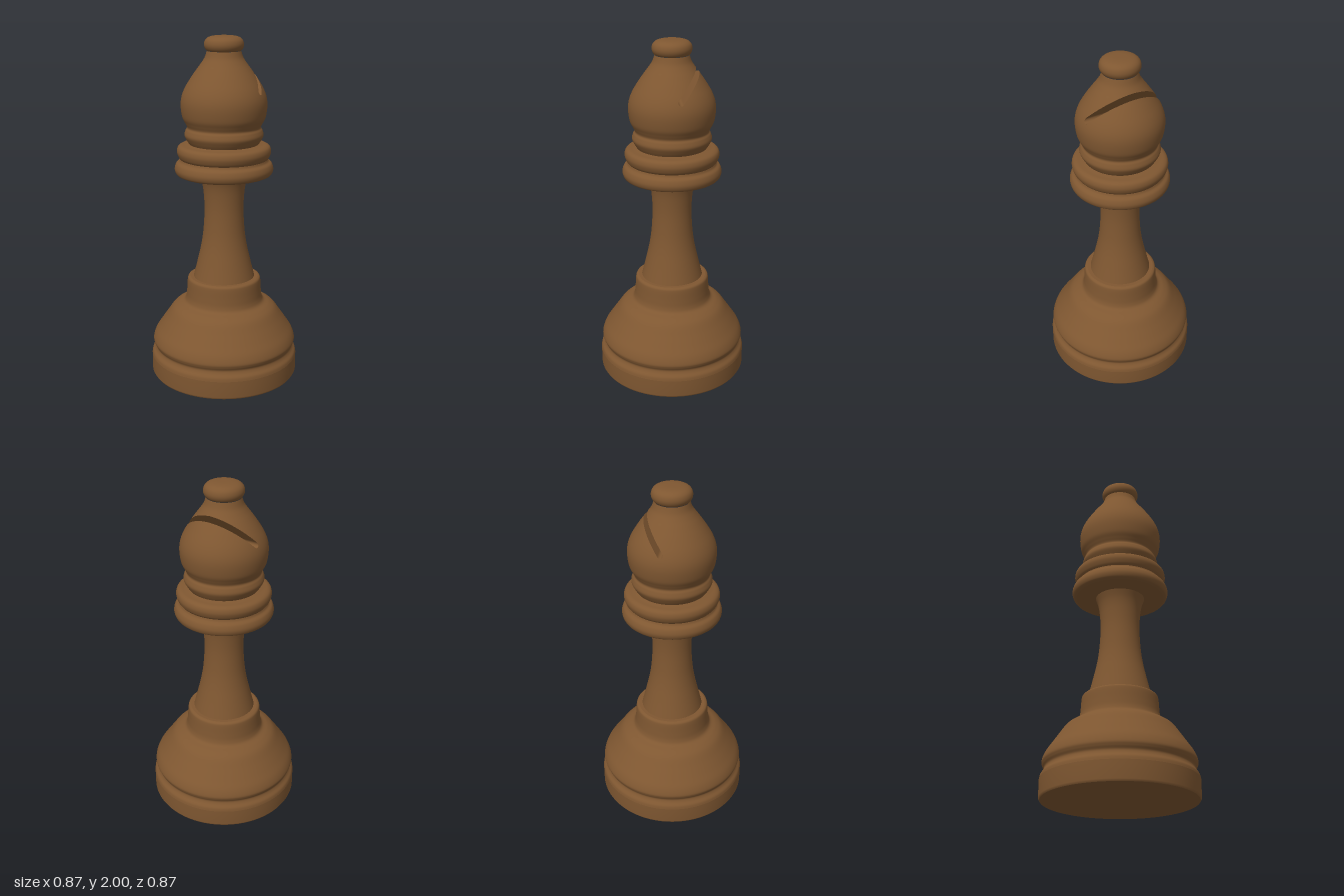
import * as THREE from 'three';

const wood = new THREE.MeshStandardMaterial({ color: 0x7f5731 });
wood.name = 'brown wood';
const SIDES = 80;

// Turned profiles as [radius, height], bottom to top
const smooth = (pts, per = 6) =>
  new THREE.SplineCurve(pts.map(p => new THREE.Vector2(...p))).getPoints((pts.length - 1) * per);
const straight = pts => pts.map(p => new THREE.Vector2(...p));

function turned(name, profile) {
  const mesh = new THREE.Mesh(new THREE.LatheGeometry(profile, SIDES), wood);
  mesh.name = name;
  return mesh;
}

// Head body profile, also used to find the depth of the cut
const headProfile = smooth([[0.2, 1.395], [0.214, 1.417], [0.226, 1.445], [0.219, 1.472], [0.21, 1.49],
  [0.221, 1.515], [0.237, 1.55], [0.245, 1.61], [0.24, 1.66], [0.221, 1.71], [0.188, 1.765],
  [0.153, 1.815], [0.127, 1.85], [0.108, 1.88], [0.096, 1.915]]);

function headRadius(y) {
  for (let i = 1; i < headProfile.length; i++) {
    const a = headProfile[i - 1], b = headProfile[i];
    if (y <= b.y) return THREE.MathUtils.lerp(a.x, b.x, (y - a.y) / (b.y - a.y));
  }
  return 0;
}

// Outline of the slanted cut: a round inner end, open towards upper +x
function slotOutline() {
  const c = new THREE.Vector2(0.031, 1.701), w = 0.016, len = 0.26;
  const d = new THREE.Vector2(0.64, 0.768), n = new THREE.Vector2(-d.y, d.x);
  const at = (along, across) => c.clone().addScaledVector(d, along).addScaledVector(n, across);
  const pts = [];
  const steps = 60;
  for (let i = 0; i < steps; i++) pts.push(at(len * (1 - i / steps), w));
  for (let i = 0; i <= 10; i++) {
    const t = Math.PI * i / 10;
    pts.push(at(-w * Math.sin(t), w * Math.cos(t)));
  }
  for (let i = 1; i <= steps; i++) pts.push(at(len * i / steps, -w));
  return { pts, convex: [pts[0], ...pts.slice(steps, steps + 11), pts[pts.length - 1]] };
}

// Split a polygon by the line a-b into the parts left and right of it
function split(poly, a, b) {
  const left = [], right = [];
  const side = p => (b.x - a.x) * (p[1] - a.y) - (b.y - a.y) * (p[0] - a.x);
  poly.forEach((p, i) => {
    const q = poly[(i + 1) % poly.length], s = side(p), t = side(q);
    (s >= 0 ? left : right).push(p);
    if ((s >= 0) !== (t >= 0)) {
      const m = p.map((v, k) => v + (q[k] - v) * s / (s - t));
      left.push(m);
      right.push(m);
    }
  });
  return [left, right];
}

// Remove the slot area from the turned head surface
function cutHead(convex) {
  const src = new THREE.LatheGeometry(headProfile, SIDES).toNonIndexed();
  const P = src.attributes.position, N = src.attributes.normal;
  const pos = [], nor = [];
  const emit = poly => {
    for (let i = 2; i < poly.length; i++) {
      for (const v of [poly[0], poly[i - 1], poly[i]]) {
        pos.push(v[0], v[1], v[2]);
        nor.push(v[3], v[4], v[5]);
      }
    }
  };
  for (let i = 0; i < P.count; i += 3) {
    let rest = [i, i + 1, i + 2].map(k =>
      [P.getX(k), P.getY(k), P.getZ(k), N.getX(k), N.getY(k), N.getZ(k)]);
    const pieces = [];
    const original = rest;
    convex.forEach((a, k) => {
      if (rest.length < 3) return;
      const [inside, outside] = split(rest, a, convex[(k + 1) % convex.length]);
      if (outside.length > 2) pieces.push(outside);
      rest = inside;
    });
    if (rest.length < 3) emit(original);
    else pieces.forEach(emit);
  }
  const g = new THREE.BufferGeometry();
  g.setAttribute('position', new THREE.Float32BufferAttribute(pos, 3));
  g.setAttribute('normal', new THREE.Float32BufferAttribute(nor, 3));
  return g;
}

// Walls of the cut, running from front to back through the head
function slotWalls(pts) {
  const pos = [], index = [];
  pts.forEach((p, i) => {
    const r = headRadius(p.y);
    const z = Math.sqrt(Math.max(0, r * r - p.x * p.x));
    pos.push(p.x, p.y, -z, p.x, p.y, z);
    const a = 2 * i;
    if (i < pts.length - 1) index.push(a, a + 1, a + 2, a + 1, a + 3, a + 2);
  });
  const g = new THREE.BufferGeometry();
  g.setAttribute('position', new THREE.Float32BufferAttribute(pos, 3));
  g.setIndex(index);
  g.computeVertexNormals();
  return g;
}

export function createModel() {
  const model = new THREE.Group();
  model.name = 'chessPiece';

  // Wide base with a groove and a stepped shoulder
  model.add(
    turned('baseUnderside', straight([[0, 0], [0.43, 0]])),
    turned('baseRim', straight([[0.43, 0], [0.437, 0.012], [0.437, 0.11]])),
    turned('baseBody', smooth([[0.437, 0.11], [0.432, 0.13], [0.418, 0.15], [0.413, 0.168], [0.422, 0.188],
      [0.426, 0.21], [0.411, 0.25], [0.38, 0.297], [0.345, 0.348], [0.308, 0.4], [0.275, 0.425],
      [0.239, 0.442], [0.226, 0.468], [0.221, 0.51], [0.217, 0.57], [0.212, 0.588], [0.2, 0.595]])),
    turned('baseTop', straight([[0.2, 0.595], [0.1, 0.595]])),
  );

  // Slender flared stem
  model.add(turned('stem', smooth([[0.181, 0.59], [0.154, 0.7], [0.134, 0.79], [0.121, 0.88], [0.114, 1.0],
    [0.118, 1.1], [0.128, 1.165], [0.145, 1.215]])));

  // Double ring collar
  model.add(
    turned('collarUnderside', straight([[0.1, 1.212], [0.255, 1.212]])),
    turned('collarLowerRing', smooth([[0.255, 1.212], [0.275, 1.222], [0.284, 1.25], [0.275, 1.28],
      [0.257, 1.295], [0.251, 1.308]])),
    turned('collarUpperRing', smooth([[0.251, 1.308], [0.262, 1.323], [0.27, 1.35], [0.264, 1.375],
      [0.247, 1.387], [0.22, 1.391], [0.19, 1.397]])),
  );

  // Head with the slanted cut
  const { pts, convex } = slotOutline();
  const head = new THREE.Mesh(cutHead(convex), wood);
  head.name = 'head';
  const cut = new THREE.Mesh(slotWalls(pts), wood);
  cut.name = 'headCutWalls';
  model.add(head, cut);

  // Flattened knob on top
  model.add(turned('knob', smooth([[0.07, 1.913], [0.095, 1.917], [0.108, 1.934], [0.111, 1.955],
    [0.103, 1.977], [0.082, 1.992], [0.045, 1.999], [0, 2]])));

  return model;
}
